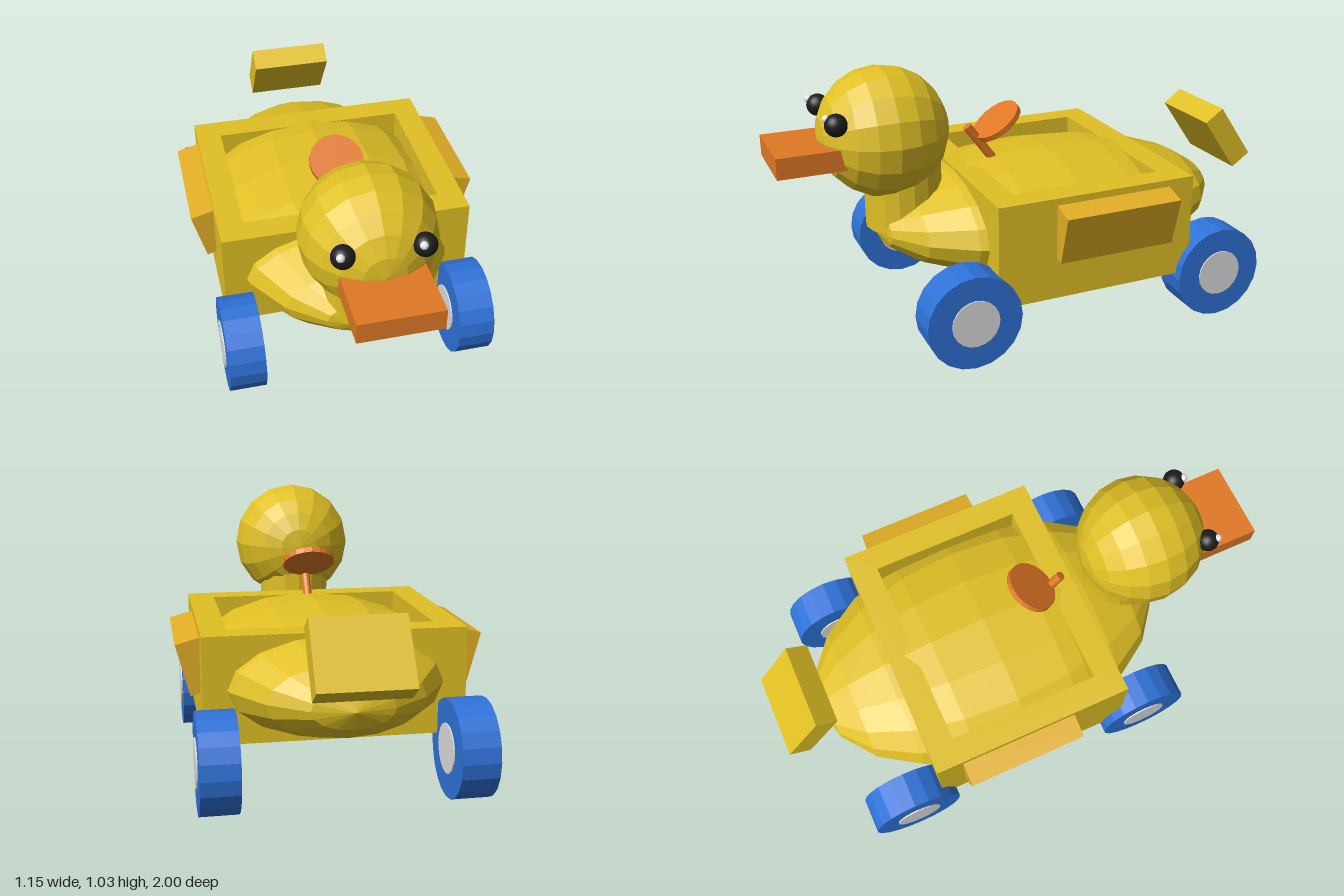
import * as THREE from 'three';

const mat = (name, color) => {
  const m = new THREE.MeshStandardMaterial({ color });
  m.name = name;
  return m;
};

// Faceted look: split the faces and give each its own normal
const facet = (geo) => {
  const g = geo.index ? geo.toNonIndexed() : geo;
  g.computeVertexNormals();
  return g;
};

export function createModel() {
  const yellow = mat('yellow', 0xe0c025);
  const amber = mat('amber', 0xe2ae25);
  const orange = mat('orange', 0xe07825);
  const blue = mat('blue', 0x2f72d8);
  const grey = mat('light grey', 0xdedede);
  const black = mat('black', 0x1c1c1c);
  const white = mat('white', 0xffffff);

  const model = new THREE.Group();
  model.name = 'duckCart';
  const add = (name, geo, material, x, y, z) => {
    const mesh = new THREE.Mesh(geo, material);
    mesh.name = name;
    mesh.position.set(x, y, z);
    model.add(mesh);
    return mesh;
  };

  // Faceted ball with its poles at front and back
  const ball = (rx, ry, rz) =>
    facet(new THREE.SphereGeometry(1, 16, 10).rotateX(Math.PI / 2).scale(rx, ry, rz));

  // Body, neck and head
  add('body', ball(0.48, 0.23, 0.73), yellow, 0, 0.4, -0.1);
  add('neck', facet(new THREE.CylinderGeometry(0.15, 0.15, 0.3, 16)), yellow, 0, 0.55, 0.5);
  add('head', ball(0.25, 0.25, 0.25), yellow, 0, 0.78, 0.57);
  add('beak', new THREE.BoxGeometry(0.3, 0.08, 0.3), orange, 0, 0.735, 0.85);

  // Open rectangular frame around the body
  const rect = (Type, x, z0, z1) =>
    new Type([[-x, -z1], [x, -z1], [x, -z0], [-x, -z0]].map((p) => new THREE.Vector2(...p)));
  const outline = rect(THREE.Shape, 0.485, -0.505, 0.3);
  outline.holes.push(rect(THREE.Path, 0.385, -0.4, 0.2));
  const frame = new THREE.ExtrudeGeometry(outline, { depth: 0.4, bevelEnabled: false });
  add('frame', frame.rotateX(-Math.PI / 2), yellow, 0, 0.2, 0);

  // Raised tail
  add('tail', new THREE.BoxGeometry(0.33, 0.26, 0.093), yellow, 0, 0.603, -0.8825).rotation.x = 0.61;

  // Steering wheel and its column, tilted forward
  add('steeringWheel', facet(new THREE.CylinderGeometry(0.105, 0.105, 0.022, 20)), orange,
    0, 0.757, 0.105).rotation.x = 0.63;
  add('steeringColumn', facet(new THREE.CylinderGeometry(0.018, 0.018, 0.24, 10)), orange,
    0, 0.655, 0.16).rotation.x = 0.63;

  const tyre = facet(new THREE.CylinderGeometry(0.183, 0.183, 0.14, 20).rotateZ(Math.PI / 2));
  const hub = facet(new THREE.CylinderGeometry(0.092, 0.092, 0.15, 20).rotateZ(Math.PI / 2));

  for (const [side, s] of [['left', 1], ['right', -1]]) {
    // Eyes with a small glint
    add(side + 'Eye', new THREE.SphereGeometry(0.042, 24, 16), black, s * 0.14, 0.867, 0.777);
    add(side + 'EyeGlint', new THREE.SphereGeometry(0.015, 12, 8), white,
      s * 0.14 - 0.015, 0.89, 0.808);

    // Wings lean outwards at the top
    add(side + 'Wing', new THREE.BoxGeometry(0.1, 0.2, 0.47), amber,
      s * 0.499, 0.466, -0.165).rotation.z = -s * 0.262;

    // Wheels
    for (const [end, z] of [['Front', 0.405], ['Rear', -0.63]]) {
      add(side + end + 'Tyre', tyre, blue, s * 0.45, 0.183, z);
      add(side + end + 'Hub', hub, grey, s * 0.45, 0.183, z);
    }
  }
  return model;
}
